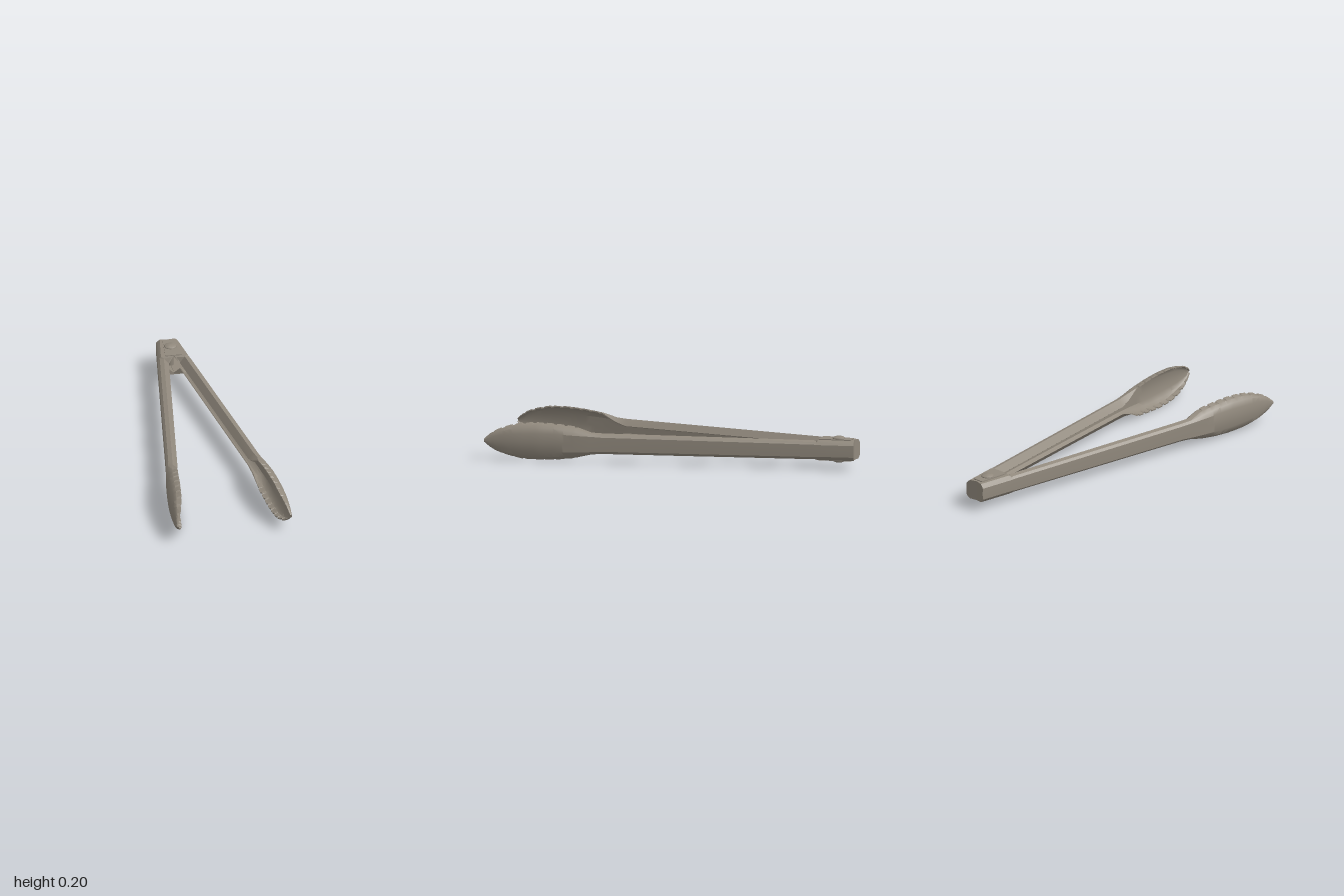
import * as THREE from 'three';
import { toCreasedNormals } from 'three/addons/utils/BufferGeometryUtils.js';

const MID_Y = 0.104;
const COLOR = 0x91897d;
const metal = new THREE.MeshStandardMaterial({ color: COLOR });
const sheet = new THREE.MeshStandardMaterial({ color: COLOR, side: THREE.DoubleSide });

// Straight channel, widening slightly towards the bowl
const wallX = (z) => 0.0605 + 0.1434 * (z + 1);
const channel = (z) => {
  const x = wallX(z), grow = 0.004 * z;
  return [z, x, 0.037 + grow, x - 0.012, 0.049 + grow, x - 0.034, 0.055 + grow, x - 0.062, 0.02 + grow];
};
// Hinge end: flanges lie flat and meet at the centre line
const hinge = (z) => {
  const x = wallX(z);
  return [z, x, 0.032, x - 0.008, 0.043, x - 0.019, 0.053, 0.001, 0.055];
};

// Sections: z, wall x, wall y, shoulder x y, ridge x y, lip x y
const KEYS = [
  hinge(-1), hinge(-0.8), channel(-0.785), channel(0), channel(0.36),
  [0.42, 0.267, 0.042, 0.255, 0.054, 0.232, 0.060, 0.205, 0.040],
  [0.50, 0.280, 0.045, 0.268, 0.065, 0.250, 0.078, 0.222, 0.082],
  [0.60, 0.293, 0.050, 0.281, 0.075, 0.262, 0.090, 0.235, 0.094],
  [0.70, 0.304, 0.050, 0.290, 0.080, 0.272, 0.095, 0.245, 0.100],
  [0.80, 0.311, 0.045, 0.298, 0.075, 0.282, 0.090, 0.258, 0.096],
  [0.87, 0.314, 0.040, 0.305, 0.064, 0.292, 0.076, 0.267, 0.081],
  [0.93, 0.315, 0.030, 0.309, 0.047, 0.301, 0.056, 0.284, 0.060],
  [0.97, 0.315, 0.018, 0.311, 0.028, 0.305, 0.034, 0.294, 0.038],
  [1.00, 0.315, 0.004, 0.313, 0.006, 0.311, 0.008, 0.305, 0.010],
];

function sectionAt(z) {
  let i = 0;
  while (i < KEYS.length - 2 && KEYS[i + 1][0] < z) i++;
  const a = KEYS[i], b = KEYS[i + 1], t = (z - a[0]) / (b[0] - a[0]);
  return a.map((v, k) => THREE.MathUtils.lerp(v, b[k], t));
}

// All stations, with small stepped teeth on the rim of the bowl only
function stations() {
  const list = KEYS.filter((k) => k[0] < 0.51 || k[0] > 0.965);
  for (let z = 0.515; z < 0.95; z += 0.056) {
    for (const [dz, out] of [[0, -0.002], [0.004, 0.003], [0.04, 0.003], [0.044, -0.002]]) {
      const s = sectionAt(z + dz);
      s[7] -= out * 0.6;
      s[8] += out;
      list.push(s);
    }
  }
  return list.sort((a, b) => a[0] - b[0]);
}

// Open outline from the upper lip round the outer wall to the lower lip
function outline(s) {
  const upper = [[s[7], s[8]], [s[5], s[6]], [s[3], s[4]], [s[1], s[2]]];
  const lower = upper.map(([x, y]) => [x, -y]).reverse();
  return [...upper, [s[1] + 0.001, 0], ...lower];
}

// Same outline moved inwards by the sheet thickness
function inset(pts, t) {
  return pts.map(([x, y], i) => {
    const p = pts[Math.max(i - 1, 0)], n = pts[Math.min(i + 1, pts.length - 1)];
    const dx = n[0] - p[0], dy = n[1] - p[1], l = Math.hypot(dx, dy) || 1;
    return [x + (dy / l) * t, y - (dx / l) * t];
  });
}

// Slight V between the two back ends
const backZ = (x) => -1 + 0.014 * (1 - Math.min(1, Math.abs(x) / 0.06));

function armGeometry(side) {
  const pos = [], index = [];
  const list = stations();
  let n = 0;
  list.forEach((s, i) => {
    const outer = outline(s);
    const ring = [...outer, ...inset(outer, Math.min(0.007, s[8] * 0.2 + 0.001)).reverse()];
    n = ring.length;
    for (const [x, y] of ring) pos.push(side * x, y + MID_Y, i === 0 ? backZ(x) : s[0]);
  });
  for (let i = 0; i < list.length - 1; i++) {
    for (let j = 0; j < n; j++) {
      const a = i * n + j, b = i * n + (j + 1) % n, c = b + n, d = a + n;
      if (side > 0) index.push(a, d, b, b, d, c);
      else index.push(a, b, d, b, c, d);
    }
  }
  const g = new THREE.BufferGeometry();
  g.setAttribute('position', new THREE.Float32BufferAttribute(pos, 3));
  g.setIndex(index);
  return toCreasedNormals(g, 0.45);
}

// Plate closing the back end of one arm, facing backwards
function endCapGeometry(side) {
  const shape = new THREE.Shape(outline(KEYS[0]).map(([x, y]) => new THREE.Vector2(-side * x, y)));
  const g = new THREE.ShapeGeometry(shape);
  g.rotateY(Math.PI);
  const p = g.attributes.position;
  for (let i = 0; i < p.count; i++) p.setXYZ(i, p.getX(i), p.getY(i) + MID_Y, backZ(p.getX(i)));
  g.computeVertexNormals();
  return g;
}

export function createModel() {
  const model = new THREE.Group();
  model.name = 'tongs';
  const add = (name, geometry, material = metal) => {
    const mesh = new THREE.Mesh(geometry, material);
    mesh.name = name;
    model.add(mesh);
    return mesh;
  };

  for (const [name, side] of [['left', 1], ['right', -1]]) {
    add(name + 'Arm', armGeometry(side), sheet);
    add(name + 'EndCap', endCapGeometry(side), sheet);
  }

  // Hinge plates above and below
  const plate = new THREE.Shape([[-0.03, 0.975], [-0.046, 0.8], [0.046, 0.8], [0.03, 0.975]]
    .map(([x, y]) => new THREE.Vector2(x, y)));
  for (const [name, y] of [['upperHingePlate', 0.052], ['lowerHingePlate', -0.059]]) {
    const g = new THREE.ExtrudeGeometry(plate, { depth: 0.007, bevelEnabled: false });
    g.rotateX(-Math.PI / 2);
    add(name, g).position.y = MID_Y + y;
  }

  // Rivet: pin with a domed head at each end
  const half = [[0.02, 0], [0.02, 0.056], [0.035, 0.056], [0.034, 0.063], [0.024, 0.069], [0, 0.071]];
  const profile = [...half.slice(1).map(([r, y]) => [r, -y]).reverse(), ...half]
    .map(([r, y]) => new THREE.Vector2(r, y));
  add('rivet', toCreasedNormals(new THREE.LatheGeometry(profile, 16), 0.5))
    .position.set(0, MID_Y, -0.9);

  return model;
}
